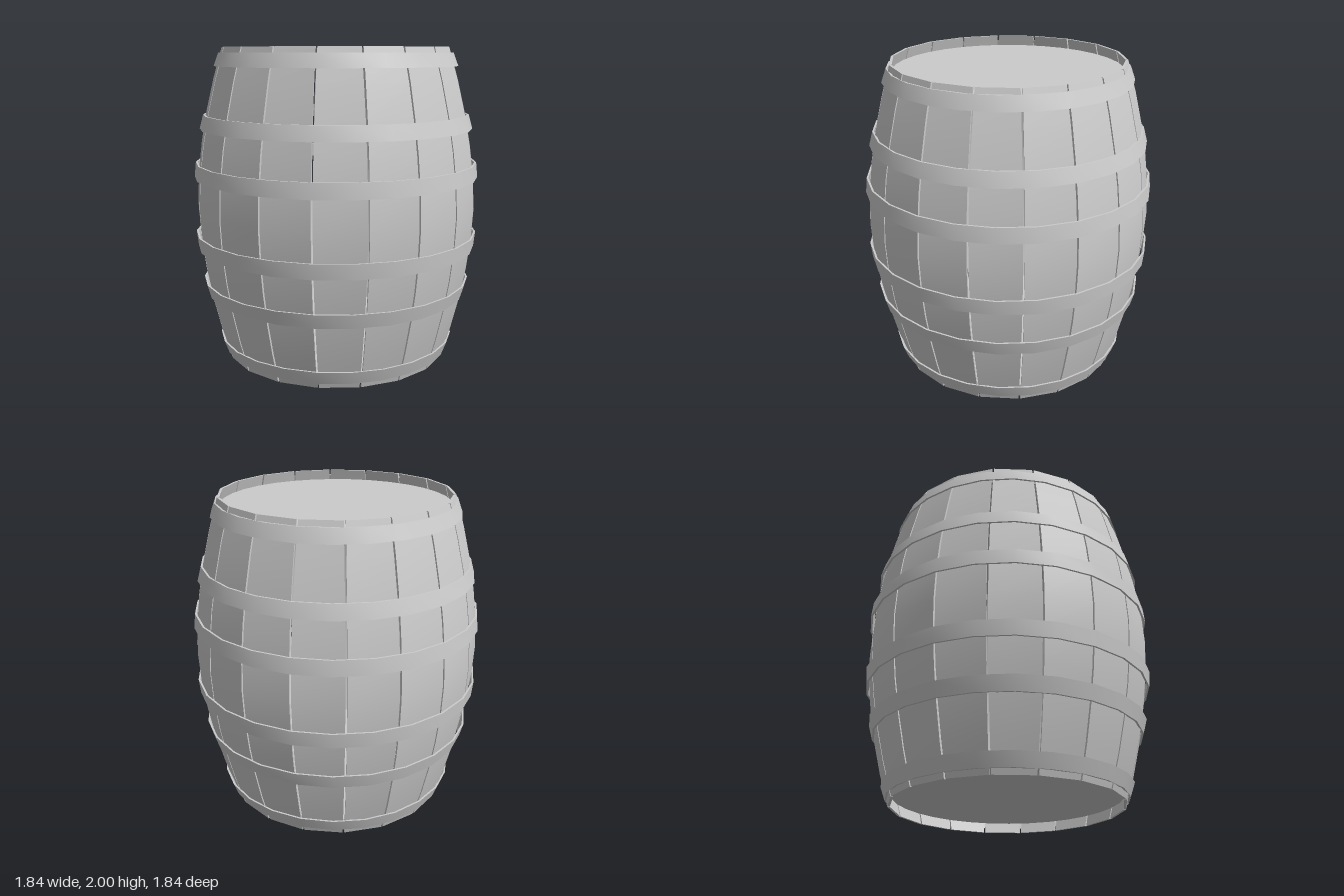
import * as THREE from 'three';
import { toCreasedNormals } from 'three/addons/utils/BufferGeometryUtils.js';

const STAVES = 18;
const HALF = Math.PI / STAVES;
const material = new THREE.MeshStandardMaterial({ color: 0xcccccc, side: THREE.DoubleSide });

// Bulging barrel profile: corner radius at height y
const radiusAt = (y) => 0.912 - 0.182 * Math.pow(Math.abs(y - 1), 1.75);

// One flat-faced plank, bent along the barrel profile and facing +z
function staveGeometry(thickness = 0.016, gap = 0.011) {
  const geo = new THREE.BoxGeometry(1, 2, 1, 1, 10, 1);
  const p = geo.attributes.position;
  for (let i = 0; i < p.count; i++) {
    const y = p.getY(i) + 1;
    const inset = p.getZ(i) > 0 ? 0 : thickness;
    const r = radiusAt(y) - inset;
    const halfWidth = r * Math.sin(HALF) - gap / 2;
    p.setXYZ(i, Math.sign(p.getX(i)) * halfWidth, y, r * Math.cos(HALF));
  }
  return toCreasedNormals(geo, 0.5);
}

// Tapered metal band with a thin rectangular section
function hoopGeometry(y0, r0, y1, r1, t = 0.012) {
  const profile = [[r0 - t, y0], [r0, y0], [r1, y1], [r1 - t, y1], [r0 - t, y0]]
    .map(([r, y]) => new THREE.Vector2(r, y));
  return toCreasedNormals(new THREE.LatheGeometry(profile, 24), 0.5);
}

export function createModel() {
  const barrel = new THREE.Group();
  barrel.name = 'barrel';
  const add = (name, geo) => {
    const mesh = new THREE.Mesh(geo, material);
    mesh.name = name;
    barrel.add(mesh);
    return mesh;
  };

  // Staves
  const stave = staveGeometry();
  for (let i = 0; i < STAVES; i++) add('stave', stave).rotation.y = i * 2 * HALF;

  // Hoops, mirrored about mid height: wide edge y, radius, narrow edge y, radius
  const hoops = [
    [1.18, 0.92, 1.275, 0.91],
    [1.49, 0.878, 1.58, 0.853],
    [1.882, 0.778, 1.966, 0.747],
  ];
  for (const [y0, r0, y1, r1] of hoops) {
    add('upperHoop', hoopGeometry(y0, r0, y1, r1));
    add('lowerHoop', hoopGeometry(2 - y1, r1, 2 - y0, r0));
  }

  // Recessed round heads
  const head = new THREE.CylinderGeometry(0.718, 0.718, 0.03, 32);
  add('topHead', head).position.y = 1.92;
  add('bottomHead', head).position.y = 0.08;

  return barrel;
}
